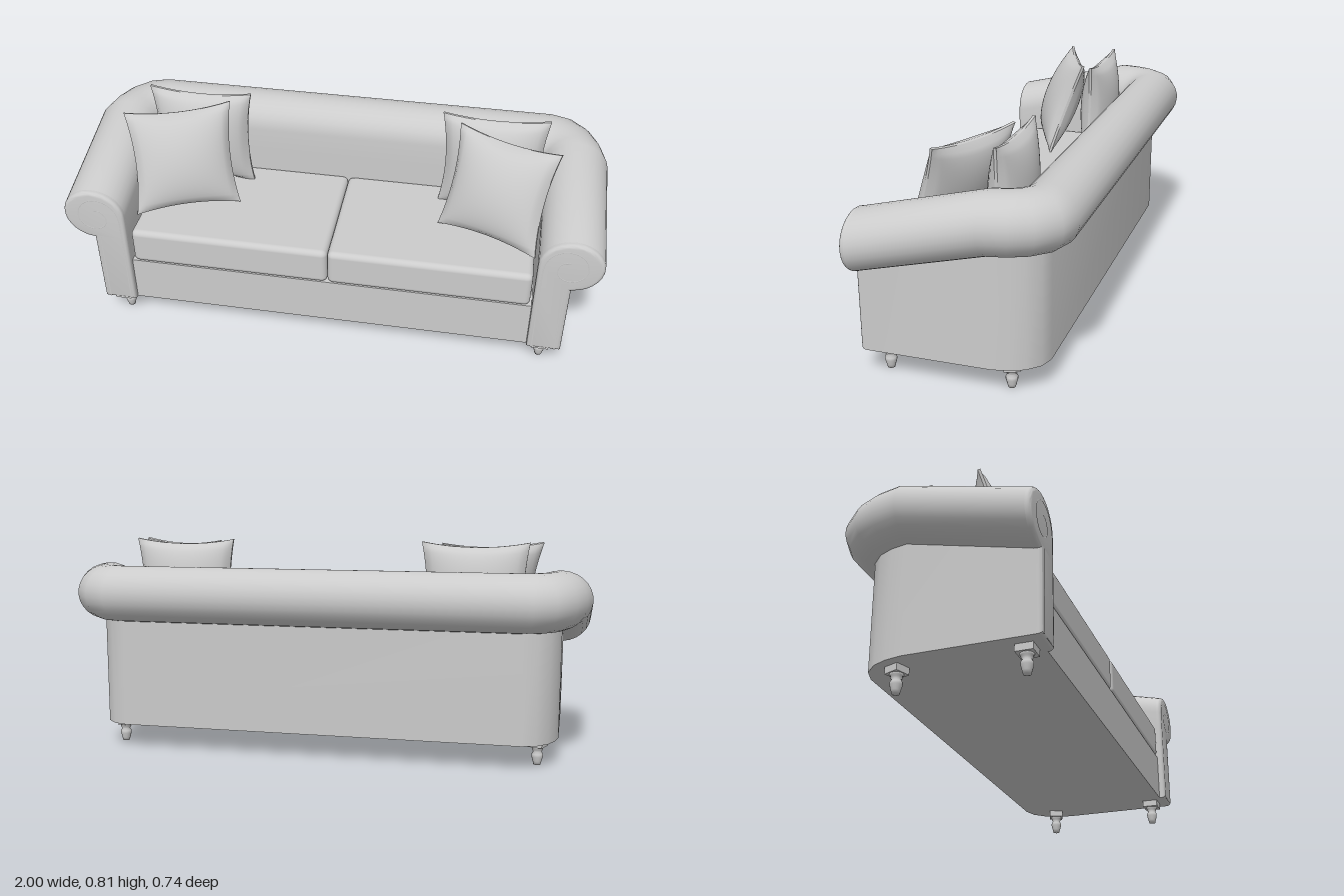
import * as THREE from 'three';
import { toCreasedNormals } from 'three/addons/utils/BufferGeometryUtils.js';
import { RoundedBoxGeometry } from 'three/addons/geometries/RoundedBoxGeometry.js';

const material = new THREE.MeshStandardMaterial({ color: 0xcccccc, roughness: 0.8 });
const FLOOR = 0.093;

function add(parent, name, geometry, x = 0, y = 0, z = 0) {
  const mesh = new THREE.Mesh(geometry, material);
  mesh.name = name;
  mesh.position.set(x, y, z);
  parent.add(mesh);
  return mesh;
}

// Section of wall and roll: [fraction from inner to outer side, height]
function wallProfile(rollY) {
  const points = [[0, FLOOR], [0, rollY - 0.1]];
  const steps = 20;
  for (let i = 0; i <= steps; i++) {
    const a = Math.PI - (i / steps) * Math.PI * 1.47;
    points.push([0.5 + 0.5 * Math.cos(a), rollY + 0.107 * Math.sin(a)]);
  }
  points.push([0.54, FLOOR]);
  return points;
}

// Arms and back swept as one U; stations: inner x, inner z, outer x, outer z, roll height
function wallGeometry() {
  const half = [
    [0.765, 0.35, 1, 0.35, 0.498],
    [0.765, -0.1, 1, -0.1, 0.608],
    [0.763, -0.125, 0.98, -0.19, 0.608],
    [0.755, -0.14, 0.945, -0.27, 0.608],
    [0.74, -0.147, 0.88, -0.342, 0.608],
    [0.72, -0.15, 0.8, -0.37, 0.608],
  ];
  const mirrored = half.map(([a, b, c, d, e]) => [-a, b, -c, d, e]).reverse();
  const stations = [...half, ...mirrored];
  const positions = [];
  const index = [];
  let n = 0;
  for (const [ix, iz, ox, oz, rollY] of stations) {
    const profile = wallProfile(rollY);
    n = profile.length;
    for (const [f, y] of profile) positions.push(ix + (ox - ix) * f, y, iz + (oz - iz) * f);
  }
  for (let i = 0; i < stations.length - 1; i++) {
    for (let j = 0; j < n; j++) {
      const a = i * n + j, b = i * n + (j + 1) % n;
      index.push(a, b, a + n, b, b + n, a + n);
    }
  }
  const geometry = new THREE.BufferGeometry();
  geometry.setAttribute('position', new THREE.Float32BufferAttribute(positions, 3));
  geometry.setIndex(index);
  return toCreasedNormals(geometry, 0.75);
}

// Padded front of one arm, with a recessed slot and scroll piping
function armFront(side) {
  const group = new THREE.Group();
  group.name = side > 0 ? 'leftArmFront' : 'rightArmFront';
  const outline = wallProfile(0.498).map(([f, y]) => new THREE.Vector2(side * (0.765 + 0.235 * f), y));
  const shape = new THREE.Shape(outline);
  const slot = [[0.8, 0.11], [0.832, 0.11], [0.832, 0.39], [0.816, 0.41], [0.8, 0.39]];
  shape.holes.push(new THREE.Path(slot.map(([x, y]) => new THREE.Vector2(side * x, y))));
  const cap = new THREE.ExtrudeGeometry(shape, {
    depth: 0.001, bevelThickness: 0.018, bevelSize: 0.015, bevelOffset: -0.015, bevelSegments: 4,
  });
  add(group, 'armFrontFace', toCreasedNormals(cap, 0.6), 0, 0, 0.35);
  add(group, 'slotPanel', new THREE.BoxGeometry(0.09, 0.34, 0.01), side * 0.816, 0.265, 0.345);

  // Piping climbs the inner edge and winds into the scroll
  const path = [[0.784, 0.1], [0.784, 0.25], [0.784, 0.42]];
  for (let i = 0; i <= 22; i++) {
    const a = Math.PI - i * 0.36;
    const r = 0.09 - i * 0.0028;
    path.push([0.876 + r * Math.cos(a), 0.492 + r * Math.sin(a)]);
  }
  const curve = (pts) => new THREE.CatmullRomCurve3(pts.map(([x, y]) => new THREE.Vector3(side * x, y, 0.361)));
  add(group, 'scrollPiping', new THREE.TubeGeometry(curve(path), 110, 0.009, 8));
  add(group, 'outerPiping', new THREE.TubeGeometry(curve([[0.868, 0.1], [0.868, 0.25], [0.868, 0.4]]), 8, 0.009, 8));
  return group;
}

// Stuffed square pillow with drawn-out corners
function pillowGeometry(size, thickness) {
  const geometry = new THREE.BoxGeometry(2, 2, 2, 24, 24, 1);
  const p = geometry.attributes.position;
  for (let i = 0; i < p.count; i++) {
    const u = p.getX(i), v = p.getY(i);
    const bulge = Math.pow(Math.max(0, (1 - u * u) * (1 - v * v)), 0.55);
    p.setXYZ(i,
      u * size / 2 * (1 - 0.1 * (1 - v * v)),
      v * size / 2 * (1 - 0.1 * (1 - u * u)),
      p.getZ(i) * (0.005 + thickness / 2 * bulge));
  }
  geometry.computeVertexNormals();
  return geometry;
}

// Turned foot under a square block
function leg(name, x, z, width, turn) {
  const group = new THREE.Group();
  group.name = name;
  const profile = [[0, 0], [0.013, 0], [0.016, 0.012], [0.021, 0.03], [0.021, 0.04], [0.015, 0.05],
    [0.02, 0.056], [0.02, 0.063], [0.026, 0.07], [0, 0.07]];
  add(group, 'turnedFoot', new THREE.LatheGeometry(profile.map(([r, y]) => new THREE.Vector2(r, y)), 16));
  add(group, 'legBlock', new THREE.BoxGeometry(width, 0.032, width), 0, 0.084, 0);
  group.position.set(x, 0, z);
  group.rotation.y = turn;
  return group;
}

export function createModel() {
  const sofa = new THREE.Group();
  sofa.name = 'sofa';

  add(sofa, 'armsAndBack', wallGeometry());
  add(sofa, 'seatBase', new THREE.BoxGeometry(1.54, 0.187, 0.51), 0, FLOOR + 0.0935, 0.09);

  for (const side of [1, -1]) {
    const word = side > 0 ? 'left' : 'right';
    sofa.add(armFront(side));
    add(sofa, word + 'SeatCushion', new RoundedBoxGeometry(0.757, 0.145, 0.505, 4, 0.022), side * 0.379, 0.349, 0.095);

    // Back pillow stands upright, front pillow leans and turns inward
    const back = add(sofa, word + 'BackPillow', pillowGeometry(0.4, 0.135), side * 0.57, 0.613, -0.075);
    back.rotation.x = -0.03;
    const front = add(sofa, word + 'FrontPillow', pillowGeometry(0.4, 0.135), side * 0.6, 0.617, 0.108);
    front.rotation.set(-0.36, -side * 0.386, 0, 'YXZ');

    sofa.add(leg(word + 'FrontLeg', side * 0.818, 0.295, 0.062, 0));
    sofa.add(leg(word + 'BackLeg', side * 0.818, -0.147, 0.056, side * 0.35));
  }
  return sofa;
}
